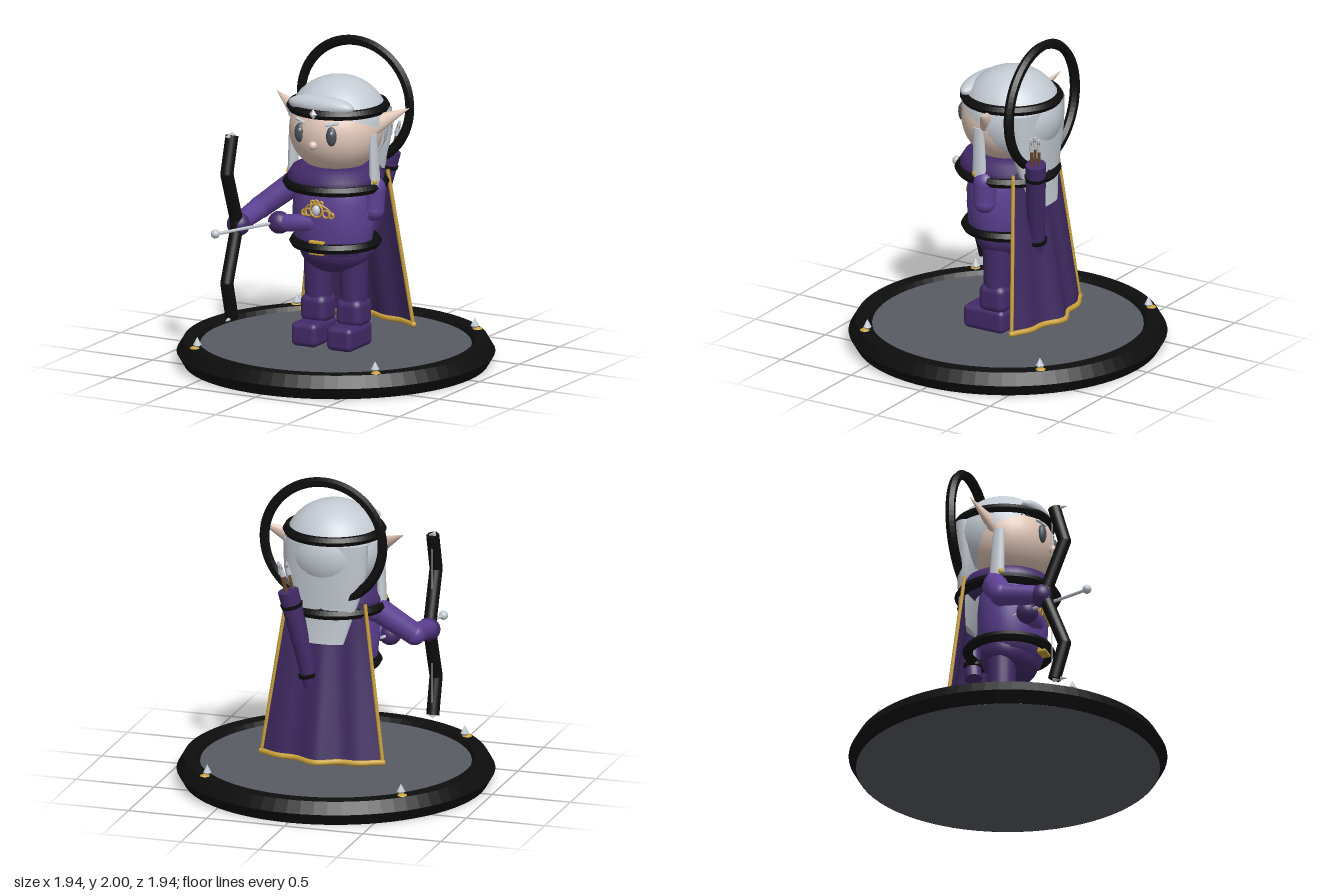
import * as THREE from 'three';
import { RoundedBoxGeometry } from 'three/addons/geometries/RoundedBoxGeometry.js';

const mat = (name, color, side = THREE.FrontSide) => {
  const m = new THREE.MeshStandardMaterial({ color, side });
  m.name = name;
  return m;
};
const V = (x, y, z) => new THREE.Vector3(x, y, z);

export function createModel() {
  const black = mat('black', 0x0e0e0f);
  const stone = mat('stone grey', 0x585b63);
  const violet = mat('violet', 0x5d4093);
  const plum = mat('dark violet', 0x432b69);
  const cloth = mat('cape violet', 0x3f2a61, THREE.DoubleSide);
  const skin = mat('skin', 0xe3c8b9);
  const silver = mat('silver hair', 0xc3cad2, THREE.DoubleSide);
  const gold = mat('gold', 0xc9a03a);
  const slate = mat('eye slate', 0x4c535b);
  const wood = mat('wood', 0x6e4a28);
  const model = new THREE.Group();

  const add = (name, geo, material, p = [0, 0, 0], s = [1, 1, 1], r = [0, 0, 0]) => {
    const m = new THREE.Mesh(geo, material);
    m.name = name;
    m.position.set(...p);
    m.scale.set(...s);
    m.rotation.set(...r);
    model.add(m);
    return m;
  };
  const ball = (name, material, p, s) => add(name, new THREE.SphereGeometry(1, 32, 20), material, p, s);
  // tapered rod between two points
  const rod = (name, material, a, b, ra, rb = ra, sides = 20) => {
    const A = V(...a), d = V(...b).sub(A);
    const m = add(name, new THREE.CylinderGeometry(rb, ra, d.length(), sides), material,
      A.clone().addScaledVector(d, 0.5).toArray());
    m.quaternion.setFromUnitVectors(V(0, 1, 0), d.normalize());
    return m;
  };
  // six-sided ring lying flat, or upright when up is true
  const ring = (name, p, R, r, up = false) => {
    const g = new THREE.TorusGeometry(R, r, 6, 72).toNonIndexed();
    g.computeVertexNormals();
    return add(name, g, black, p, [1, 1, 1], [up ? 0 : Math.PI / 2, 0, 0]);
  };
  const tube = (name, material, pts, r) =>
    add(name, new THREE.TubeGeometry(new THREE.CatmullRomCurve3(pts), 48, r, 8), material);

  // display base
  add('baseDisc', new THREE.CylinderGeometry(0.9, 0.925, 0.12, 72), stone, [0, 0.06, 0]);
  ring('baseRing', [0, 0.074, 0], 0.885, 0.085);
  for (const x of [-1, 1]) for (const z of [-1, 1]) {
    ball('baseStud', gold, [x * 0.632, 0.142, z * 0.632], [0.032, 0.018, 0.032]);
    add('baseGem', new THREE.ConeGeometry(0.027, 0.05, 6), silver, [x * 0.62, 0.193, z * 0.62]);
    add('baseGemFoot', new THREE.ConeGeometry(0.027, 0.025, 6), silver, [x * 0.62, 0.156, z * 0.62], [1, 1, 1], [Math.PI, 0, 0]);
  }

  // legs
  for (const s of [-1, 1]) {
    const x = s * 0.123;
    rod('leg', plum, [x, 0.4, 0], [x, 0.66, 0], 0.082, 0.09);
    add('boot', new RoundedBoxGeometry(0.18, 0.18, 0.185, 4, 0.05), plum, [x, 0.335, 0]);
    add('foot', new RoundedBoxGeometry(0.178, 0.15, 0.29, 4, 0.035), plum, [x, 0.195, 0.053]);
  }
  ball('hips', plum, [0, 0.72, 0.01], [0.23, 0.15, 0.17]);

  // torso, mantle and rings
  const lathe = (pts) => new THREE.LatheGeometry(pts.map((p) => new THREE.Vector2(...p)), 48);
  add('torso', lathe([[0.001, 0.7], [0.215, 0.71], [0.25, 0.8], [0.262, 0.92], [0.258, 1.04], [0.245, 1.14], [0.2, 1.22]]),
    violet, [0, 0, 0.03], [1, 1, 0.8]);
  add('mantle', lathe([[0.2, 1.11], [0.295, 1.13], [0.293, 1.19], [0.265, 1.235], [0.2, 1.255], [0.001, 1.26]]), plum);
  ring('mantleRing', [0, 1.138, 0], 0.293, 0.032);
  ring('belt', [0, 0.769, 0.005], 0.25, 0.032);
  add('buckle', new RoundedBoxGeometry(0.1, 0.088, 0.07, 2, 0.008), gold, [0, 0.768, 0.222]);

  // brooch
  const bz = 0.245;
  ball('broochGem', silver, [0, 1.005, bz + 0.005], [0.026, 0.034, 0.022]);
  const loop = (x, y, R) => add('broochLoop', new THREE.TorusGeometry(R, 0.007, 8, 24), gold, [x, y, bz - Math.abs(x) * 0.2]);
  loop(0, 1.005, 0.042);
  loop(0, 1.056, 0.012);
  for (const s of [-1, 1]) {
    loop(s * 0.062, 0.985, 0.022);
    loop(s * 0.094, 0.978, 0.016);
    loop(s * 0.03, 1.05, 0.011);
    tube('broochArc', gold, [V(s * 0.03, 1.04, bz), V(s * 0.07, 1.02, bz - 0.01), V(s * 0.108, 0.97, bz - 0.025)], 0.006);
  }

  // arm reaching out to the bow
  rod('upperArm', violet, [-0.25, 1.12, 0], [-0.465, 0.94, 0.11], 0.078, 0.068);
  ball('shoulder', violet, [-0.25, 1.11, 0], [0.08, 0.08, 0.08]);
  ball('elbow', violet, [-0.465, 0.94, 0.11], [0.07, 0.07, 0.07]);
  rod('forearm', violet, [-0.465, 0.94, 0.11], [-0.47, 0.9, 0.35], 0.067, 0.058);
  ball('bowHand', plum, [-0.47, 0.89, 0.375], [0.072, 0.072, 0.066]);
  // arm folded across the chest
  ball('shoulder', violet, [0.262, 1.12, 0], [0.075, 0.08, 0.075]);
  rod('upperArm', violet, [0.262, 1.12, 0], [0.262, 0.995, 0.005], 0.075, 0.068);
  ball('elbow', violet, [0.262, 0.99, 0.005], [0.069, 0.069, 0.069]);
  tube('forearm', violet, [V(0.26, 0.98, 0.01), V(0.02, 0.92, 0.17), V(-0.12, 0.905, 0.205), V(-0.26, 0.89, 0.215)], 0.055);
  ball('arrowHand', plum, [-0.275, 0.89, 0.215], [0.07, 0.07, 0.066]);

  // bow, string and arrow
  const bow = [[1.465, 0.455], [1.235, 0.52], [0.935, 0.405], [0.85, 0.405], [0.55, 0.52], [0.32, 0.455]].map(([y, z]) => [-0.47, y, z]);
  for (let i = 0; i < bow.length - 1; i++) {
    rod('bowLimb', black, bow[i], bow[i + 1], 0.04);
    if (i) ball('bowJoint', black, bow[i], [0.04, 0.04, 0.04]);
  }
  for (const y of [1.46, 0.325]) rod('bowTip', silver, [-0.47, y, 0.45], [-0.47, y + Math.sign(y - 0.89) * 0.01, 0.535], 0.024, 0.002, 6);
  rod('bowString', silver, [-0.47, 0.33, 0.44], [-0.47, 1.455, 0.44], 0.004, 0.004, 6);
  rod('arrowShaft', silver, [-0.25, 0.89, 0.12], [-0.47, 0.89, 0.66], 0.01, 0.01, 8);
  ball('arrowTip', silver, [-0.47, 0.892, 0.663], [0.028, 0.028, 0.028]);

  // head and face
  ball('head', skin, [0, 1.47, 0], [0.288, 0.272, 0.283]);
  ball('nose', skin, [0, 1.42, 0.287], [0.027, 0.027, 0.027]);
  for (const s of [-1, 1]) {
    ball('eye', slate, [s * 0.11, 1.483, 0.255], [0.034, 0.06, 0.026]);
    ball('eyeGlint', silver, [s * 0.11 + 0.012, 1.508, 0.276], [0.008, 0.011, 0.006]);
    add('brow', new RoundedBoxGeometry(0.085, 0.016, 0.025, 2, 0.006), silver, [s * 0.108, 1.557, 0.247], [1, 1, 1], [0, s * 0.4, s * 0.18]);
    const ear = rod('ear', skin, [s * 0.25, 1.515, -0.01], [s * 0.46, 1.628, -0.09], 0.068, 0.002);
    ear.scale.z = 0.6;
  }

  // hair cap: hairline is high in front and low at the back
  const cap = new THREE.SphereGeometry(1, 64, 24);
  const pos = cap.attributes.position;
  for (let i = 0; i < pos.count; i++) {
    const v = V(0, 0, 0).fromBufferAttribute(pos, i);
    const a = Math.atan2(v.x, v.z), f = Math.cos(a);
    const t = Math.acos(THREE.MathUtils.clamp(v.y, -1, 1)) / Math.PI * Math.min(2.45, 1.65 - f * (f > 0 ? 0.45 : 1.7));
    pos.setXYZ(i, Math.sin(t) * Math.sin(a) * 0.31, Math.cos(t) * 0.295, Math.sin(t) * Math.cos(a) * 0.31);
  }
  cap.computeVertexNormals();
  add('hairCap', cap, silver, [0, 1.5, -0.03]);
  ball('fringe', silver, [0, 1.652, 0.185], [0.225, 0.062, 0.075]);
  ring('circlet', [0, 1.61, -0.027], 0.285, 0.031);
  add('circletGem', new THREE.OctahedronGeometry(0.034), silver, [0, 1.615, 0.285], [0.8, 1, 0.6]);
  ring('halo', [0, 1.588, -0.243], 0.378, 0.031, true);

  // long hair down the back: stacked ellipses
  const rows = [[1.58, 0.27, -0.2, 0.12], [1.4, 0.265, -0.2, 0.115], [1.22, 0.22, -0.22, 0.075], [1.08, 0.175, -0.24, 0.05], [0.95, 0.135, -0.265, 0.035]];
  const hv = [], hi = [], N = 32;
  rows.forEach(([y, rx, z, rz], j) => {
    for (let i = 0; i <= N; i++) {
      const a = i / N * Math.PI * 2;
      hv.push(Math.sin(a) * rx, y, z + Math.cos(a) * rz);
      const k = j * (N + 1) + i;
      if (j && i < N) hi.push(k, k + 1, k - N - 1, k + 1, k - N, k - N - 1);
    }
  });
  const back = new THREE.BufferGeometry();
  back.setAttribute('position', new THREE.Float32BufferAttribute(hv, 3));
  back.setIndex(hi);
  back.computeVertexNormals();
  add('backHair', back, silver);
  add('backHairEnd', new THREE.CircleGeometry(1, 32), silver, [0, 0.95, -0.265], [0.135, 0.035, 1], [Math.PI / 2, 0, 0]);
  for (const s of [-1, 1]) {
    const lock = rod('sideLock', silver, [s * 0.285, 1.16, 0.025], [s * 0.278, 1.47, 0.035], 0.048, 0.036);
    lock.scale.x = 0.6;
    ball('lockBead', gold, [s * 0.297, 1.178, 0.052], [0.018, 0.022, 0.018]);
  }

  // cape with wavy folds that deepen downwards
  const capeAt = (u, t) => {
    const fold = 0.11 * Math.sin(u * Math.PI) + 0.025 * Math.sin(u * Math.PI * 5.2 - 0.5) * Math.sin(u * Math.PI);
    return V((u - 0.5) * (0.5 + 0.275 * t), 1.2 - 0.975 * t, -0.195 - 0.075 * t - fold * (0.15 + 0.85 * t));
  };
  const cape = new THREE.PlaneGeometry(1, 1, 40, 16), cp = cape.attributes.position;
  for (let i = 0; i < cp.count; i++) cp.setXYZ(i, ...capeAt(cp.getX(i) + 0.5, 0.5 - cp.getY(i)).toArray());
  cape.computeVertexNormals();
  add('cape', cape, cloth);
  const line = (f) => Array.from({ length: 17 }, (_, i) => f(i / 16));
  tube('capeHem', gold, line((k) => capeAt(k, 1)), 0.018);
  for (const u of [0, 1]) {
    tube('capeEdge', gold, line((k) => capeAt(u, k)), 0.012);
    ball('capeCorner', gold, capeAt(u, 1).toArray(), [0.019, 0.019, 0.019]);
  }

  // quiver with spare arrows
  const top = V(0.2, 1.28, -0.325), foot = V(0.07, 0.66, -0.245);
  const q = (t) => foot.clone().lerp(top, t).toArray();
  rod('quiver', plum, q(0), q(1), 0.052, 0.064);
  for (const t of [0.13, 0.85]) rod('quiverBand', black, q(t - 0.018), q(t + 0.018), 0.066, 0.07);
  for (const [x, z] of [[-0.025, 0.02], [0.025, 0.015], [0, -0.025]]) {
    const at = (h) => [0.2 + x + h * 0.2, 1.28 + h, -0.325 + z - h * 0.12];
    rod('spareArrow', wood, at(-0.05), at(0.16), 0.009, 0.009, 8);
    rod('fletching', silver, at(0.1), at(0.18), 0.018, 0.008, 4);
  }
  return model;
}
